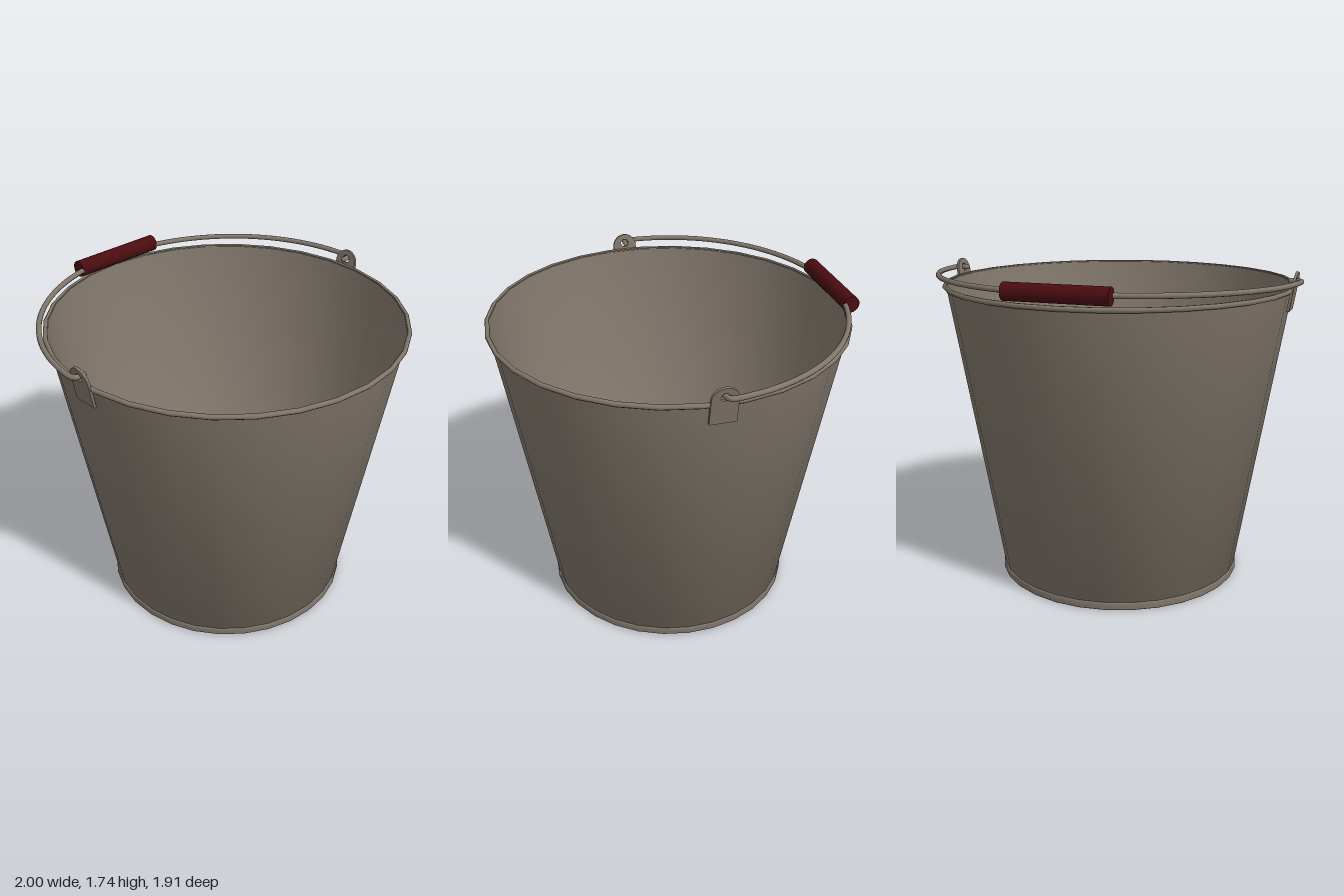
import * as THREE from 'three';

const SIDES = 30;
const metal = new THREE.MeshStandardMaterial({ color: 0x80766b });
metal.name = 'dull metal';
const red = new THREE.MeshStandardMaterial({ color: 0x4a0c10 });
red.name = 'dark red';

function mesh(name, geometry, material) {
  const m = new THREE.Mesh(geometry, material);
  m.name = name;
  return m;
}

function turned(name, profile) {
  const points = profile.map(([r, y]) => new THREE.Vector2(r, y));
  return mesh(name, new THREE.LatheGeometry(points, SIDES), metal);
}

// Ear plate with rounded top and a hole for the wire, lying against the wall
function makeEar(side) {
  const w = 0.067, h = 0.135, hole = 0.022;
  const shape = new THREE.Shape();
  shape.moveTo(-w, 0);
  shape.lineTo(w, 0);
  shape.lineTo(w, h);
  shape.absarc(0, h, w, 0, Math.PI, false);
  shape.closePath();
  const eye = new THREE.Path();
  eye.absarc(0, 0.152, hole, 0, Math.PI * 2, true);
  shape.holes.push(eye);
  const geo = new THREE.ExtrudeGeometry(shape, { depth: 0.014, bevelEnabled: false, curveSegments: 12 });
  geo.translate(0, 0, -0.007);
  geo.rotateX(0.165);
  geo.rotateY(side * Math.PI / 2);
  geo.translate(side * 0.926, 1.52, 0.005);
  return mesh(side > 0 ? 'leftEar' : 'rightEar', geo, metal);
}

export function createModel() {
  const bucket = new THREE.Group();
  bucket.name = 'bucket';

  // Outer shell with underside, and inner shell with floor
  const body = new THREE.Group();
  body.name = 'body';
  body.add(
    turned('outerWall', [[0, 0.004], [0.662, 0.004], [0.932, 1.622]]),
    turned('innerWall', [[0.93, 1.636], [0.655, 0.02], [0, 0.02]]),
    // Rolled rim and foot ring
    turned('rim', [[0.93, 1.612], [0.944, 1.613], [0.951, 1.62], [0.951, 1.631], [0.945, 1.638],
      [0.934, 1.638], [0.928, 1.63]]),
    turned('footRing', [[0.65, 0], [0.672, 0], [0.676, 0.004], [0.676, 0.036], [0.672, 0.04], [0.66, 0.042]])
  );
  bucket.add(body, makeEar(1), makeEar(-1));

  // Wire bail folded to the back, its ends hooked through the ears
  const half = [[0.925, 1.672, 0.003], [0.955, 1.672, 0.003], [0.976, 1.672, -0.002], [0.984, 1.672, -0.025]];
  const path = half.map(p => new THREE.Vector3(...p));
  const steps = 24;
  for (let i = 1; i < steps; i++) {
    const a = 0.06 + (Math.PI - 0.12) * i / steps;
    path.push(new THREE.Vector3(0.985 * Math.cos(a), 1.672 + 0.018 * Math.sin(a), -0.915 * Math.sin(a)));
  }
  for (const [x, y, z] of [...half].reverse()) path.push(new THREE.Vector3(-x, y, z));
  const wireRadius = 0.014;
  bucket.add(mesh('bailWire', new THREE.TubeGeometry(new THREE.CatmullRomCurve3(path), 140, wireRadius, 10), metal));

  // Caps on the wire ends
  for (const side of [1, -1]) {
    const cap = mesh('wireEnd', new THREE.SphereGeometry(wireRadius, 10, 8), metal);
    cap.position.set(side * 0.925, 1.672, 0.003);
    bucket.add(cap);
  }

  // Hand grip
  const grip = mesh('grip', new THREE.CylinderGeometry(0.045, 0.045, 0.532, 20), red);
  grip.rotation.z = Math.PI / 2;
  grip.position.set(0, 1.69, -0.913);
  bucket.add(grip);

  return bucket;
}
